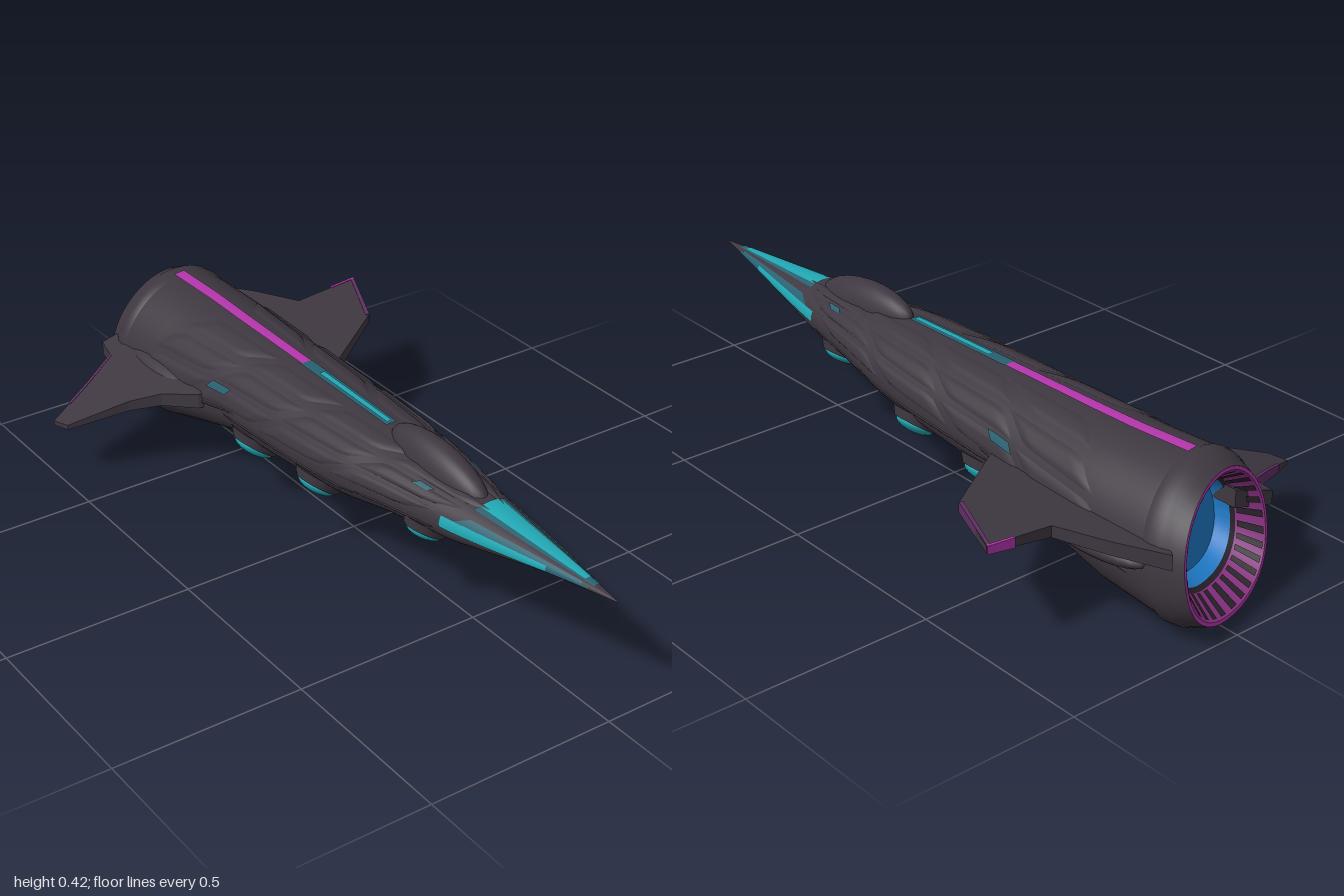
import * as THREE from 'three';

const mat = (name, color) => {
  const m = new THREE.MeshStandardMaterial({ color, side: THREE.DoubleSide });
  m.name = name;
  return m;
};

// Hull stations: x, top, bottom, widest height, half width
const STATIONS = [
  [-0.94, 0.372, 0.03, 0.19, 0.18], [-0.9, 0.39, 0.008, 0.19, 0.192], [-0.85, 0.392, 0, 0.19, 0.2],
  [-0.7, 0.388, 0.02, 0.2, 0.196], [-0.5, 0.383, 0.085, 0.22, 0.184], [-0.35, 0.381, 0.13, 0.24, 0.173],
  [0, 0.375, 0.155, 0.26, 0.162], [0.15, 0.372, 0.175, 0.27, 0.15], [0.3, 0.366, 0.205, 0.28, 0.125],
  [0.5, 0.354, 0.225, 0.285, 0.09], [0.6, 0.347, 0.25, 0.293, 0.073], [0.8, 0.335, 0.295, 0.312, 0.038],
  [1, 0.324, 0.32, 0.322, 0.001],
];

// Point on the hull at x and angle t (0 = +z side, PI/2 = top), raised by off
function hullPoint(x, t, off = 0) {
  let i = 0;
  while (i < STATIONS.length - 2 && x > STATIONS[i + 1][0]) i++;
  const a = STATIONS[i], b = STATIONS[i + 1];
  const f = THREE.MathUtils.clamp((x - a[0]) / (b[0] - a[0]), 0, 1);
  const [, top, bot, mid, w] = a.map((v, k) => v + (b[k] - v) * f);
  const c = Math.cos(t), s = Math.sin(t), e = s > 0 ? 1 : 0.88;
  const y = mid + Math.sign(s) * Math.abs(s) ** e * ((s > 0 ? top - mid : mid - bot) + off);
  const z = Math.sign(c) * Math.abs(c) ** e * (w + off);
  // the tail is cut on a slant and sits slightly to the left
  const k = THREE.MathUtils.clamp((-x - 0.65) / 0.29, 0, 1);
  return new THREE.Vector3(x + k * (0.26 * z + 0.19 * (y - 0.2)), y, z + 0.012 * k);
}

// Grid surface from a function of (u, v)
function gridSurface(fn, nu, nv) {
  const pos = [], idx = [];
  for (let i = 0; i <= nu; i++) for (let j = 0; j <= nv; j++) pos.push(...fn(i / nu, j / nv).toArray());
  for (let i = 0; i < nu; i++) for (let j = 0; j < nv; j++) {
    const a = i * (nv + 1) + j, b = a + nv + 1;
    idx.push(a, b, b + 1, a, b + 1, a + 1);
  }
  const g = new THREE.BufferGeometry();
  g.setAttribute('position', new THREE.Float32BufferAttribute(pos, 3));
  g.setIndex(idx);
  g.computeVertexNormals();
  return g;
}

export function createModel() {
  const root = new THREE.Group();
  root.name = 'spacecraft';
  const hull = mat('hull charcoal', 0x3e3740);
  const ribMat = mat('rib black', 0x282029);
  const cyan = mat('glow cyan', 0x21a8b4);
  const teal = mat('dim teal', 0x286070);
  const magenta = mat('glow magenta', 0xb436ac);
  const purple = mat('throat purple', 0x86307f);
  const blue = mat('engine blue', 0x1f78c4);
  const plum = mat('edge plum', 0x5e3062);

  const add = (name, geo, material, parent = root) => {
    const m = new THREE.Mesh(geo, material);
    m.name = name;
    parent.add(m);
    return m;
  };

  // Four-cornered patch lying on the hull; corners are [x, angle]
  const patch = (name, material, c, edge, high = edge) => {
    const lerp = THREE.MathUtils.lerp;
    add(name, gridSurface((u, v) => {
      const p = [0, 1].map(k => lerp(lerp(c[0][k], c[1][k], u), lerp(c[3][k], c[2][k], u), v));
      const rim = u === 0 || v === 0 || u === 1 || v === 1;
      return hullPoint(p[0], p[1], rim ? edge : high);
    }, 10, 6), material);
  };
  const both = (name, material, c, edge, high) => {
    patch(name, material, c, edge, high);
    patch(name, material, c.map(([x, t]) => [x, Math.PI - t]), edge, high);
  };

  // Hull
  add('hull', gridSurface((u, v) => hullPoint(-0.94 + 1.94 * u, v * Math.PI * 2), 90, 56), hull);

  // Swept armour plates
  for (const [row, t0] of [0.02, 0.47, 0.94].entries()) {
    for (let i = 0; i < 4; i++) {
      const x = -0.76 + i * 0.29 + row * 0.07, t1 = t0 + 0.4;
      both('armourPlate', hull, [[x, t0], [x + 0.25, t0 + 0.06], [x + 0.35, t1], [x + 0.08, t1 - 0.04]], 0.001, 0.005);
    }
  }

  // Raised ridges along the flanks and a band around the tail
  for (const [x0, a, x1, b] of [[-0.8, -0.15, -0.3, 0.02], [-0.35, -0.1, 0.2, -0.25], [0.2, -0.2, 0.46, -0.2]])
    both('flankRidge', hull, [[x0, a - 0.02], [x1, b - 0.02], [x1, b + 0.02], [x0, a + 0.02]], 0.001, 0.004);
  add('tailBand', gridSurface((u, v) => hullPoint(-0.9 + 0.06 * u, v * Math.PI * 2, u > 0 && u < 1 ? 0.005 : 0), 4, 56), hull);

  // Spine light, magenta aft and teal to cyan forward
  const T = Math.PI / 2;
  const strip = (name, m, x0, x1, w, off = 0.007) => patch(name, m, [[x0, T - w], [x1, T - w], [x1, T + w], [x0, T + w]], off);
  strip('spineLightAft', magenta, -0.85, -0.21, 0.085);
  strip('spineLightMiddle', teal, -0.21, 0.16, 0.1);
  strip('spineLightFore', cyan, -0.14, 0.15, 0.045, 0.009);

  // Nose lights
  strip('noseTopLight', teal, 0.55, 0.93, 0.55, 0.002);
  strip('noseTopLine', cyan, 0.55, 0.9, 0.36, 0.003);
  both('noseSideLight', cyan, [[0.48, -0.04], [0.8, -0.2], [0.8, 0.4], [0.48, 0.35]], 0.002);
  both('noseSideGlow', teal, [[0.52, 0.36], [0.9, 0.4], [0.9, 0.75], [0.56, 0.68]], 0.002);
  both('noseSideTip', teal, [[0.8, -0.2], [0.92, 0], [0.92, 0.4], [0.8, 0.4]], 0.002);

  // Small flank glints
  for (const [x, t, l] of [[-0.42, 0.3, 0.08], [0.36, 0.75, 0.05]])
    both('flankGlint', teal, [[x, t], [x + l, t], [x + l + 0.02, t + 0.14], [x + 0.02, t + 0.14]], 0.008);

  // Canopy hump
  const canopy = add('canopy', new THREE.SphereGeometry(1, 28, 18), hull);
  canopy.scale.set(0.185, 0.07, 0.05);
  canopy.position.set(0.355, 0.346, 0);
  canopy.rotation.z = -0.1;

  // Belly domes in dark collars
  for (const side of [1, -1]) for (const [x, t, r, ny] of [[-0.27, -0.83, 0.056, 0.82], [0.01, -0.82, 0.051, 0.82], [0.385, -1.05, 0.048, 0.88]]) {
    const pod = new THREE.Group();
    pod.name = 'bellyDome';
    pod.position.copy(hullPoint(x, side > 0 ? t : Math.PI - t));
    pod.quaternion.setFromUnitVectors(new THREE.Vector3(0, 1, 0), new THREE.Vector3(0, -ny, side * Math.sqrt(1 - ny * ny)));
    add('domeCollar', new THREE.CylinderGeometry(r * 1.1, r * 1.4, 0.024, 20), hull, pod);
    const dome = add('domeLight', new THREE.SphereGeometry(r, 20, 8, 0, Math.PI * 2, 0, T), cyan, pod);
    dome.scale.y = 0.4;
    dome.position.y = 0.0115;
    root.add(pod);
  }

  // Wings: outline in (x, z), height and thickness run from root to tip
  const wing = (name, outline, yRoot, yTip, tRoot, tTip, material = hull) => {
    const shape = new THREE.Shape(outline.map(p => new THREE.Vector2(...p)));
    const g = new THREE.ExtrudeGeometry(shape, { depth: 1, bevelEnabled: false });
    const p = g.attributes.position;
    for (let i = 0; i < p.count; i++) {
      const z = p.getY(i), f = (Math.abs(z) - 0.15) / 0.34;
      const y = yRoot + (yTip - yRoot) * f + (0.5 - p.getZ(i)) * (tRoot + (tTip - tRoot) * f);
      p.setXYZ(i, p.getX(i), y, z);
    }
    g.computeVertexNormals();
    add(name, g, material);
  };
  wing('leftWing', [[-0.86, 0.12], [-0.87, 0.235], [-0.8, 0.25], [-0.75, 0.35], [-0.69, 0.49], [-0.64, 0.475], [-0.58, 0.32], [-0.53, 0.25], [-0.44, 0.19], [-0.4, 0.12]], 0.236, 0.142, 0.045, 0.012);
  wing('leftWingEdge', [[-0.803, 0.25], [-0.753, 0.35], [-0.72, 0.427], [-0.712, 0.425], [-0.745, 0.348], [-0.795, 0.249]], 0.236, 0.142, 0.047, 0.015, plum);
  wing('rightWing', [[-0.86, -0.12], [-0.96, -0.18], [-0.84, -0.25], [-0.71, -0.31], [-0.71, -0.5], [-0.51, -0.41], [-0.35, -0.18], [-0.33, -0.12]], 0.23, 0.274, 0.042, 0.018);
  wing('rightWingTipEdge', [[-0.713, -0.49], [-0.713, -0.5], [-0.51, -0.412], [-0.515, -0.402]], 0.23, 0.274, 0.045, 0.022, plum);
  wing('rightWingTipLight', [[-0.714, -0.42], [-0.714, -0.5], [-0.706, -0.497], [-0.706, -0.42]], 0.23, 0.274, 0.045, 0.022, magenta);

  // Wing root fairings
  for (const [x, z, y, rz] of [[-0.72, -0.19, 0.2, 0.055], [-0.66, 0.172, 0.225, 0.045]]) {
    const f = add('wingFairing', new THREE.SphereGeometry(1, 24, 14), hull);
    f.position.set(x, y, z);
    f.scale.set(0.17, 0.034, rz);
  }

  // Engine: glowing rim, ribbed throat and blue core
  const ring = (d, s) => t => {
    const c = new THREE.Vector3(-0.94, 0.2, 0.012);
    return hullPoint(-0.94, t).sub(c).multiplyScalar(s).add(c).add(new THREE.Vector3(d, 0, 0));
  };
  const band = (name, m, d0, s0, d1, s1, t0 = 0, t1 = Math.PI * 2, n = 48) => {
    const a = ring(d0, s0), b = ring(d1, s1);
    add(name, gridSurface((u, v) => {
      const t = t0 + (t1 - t0) * v;
      return a(t).lerp(b(t), u);
    }, 1, n), m);
  };
  band('engineRim', magenta, 0, 1, 0, 0.95);
  band('engineThroat', purple, 0, 0.95, 0.07, 0.75);
  for (let i = 0; i < 28; i++) {
    const t = (i / 28) * Math.PI * 2;
    band('engineRib', ribMat, 0.003, 0.92, 0.062, 0.735, t, t + 0.11, 2);
  }
  band('engineInnerWall', ribMat, 0.07, 0.75, 0.08, 0.7);
  band('engineDuct', blue, 0.08, 0.7, 0.12, 0.62);
  band('engineCore', blue, 0.12, 0.62, 0.12, 0.0);

  return root;
}
